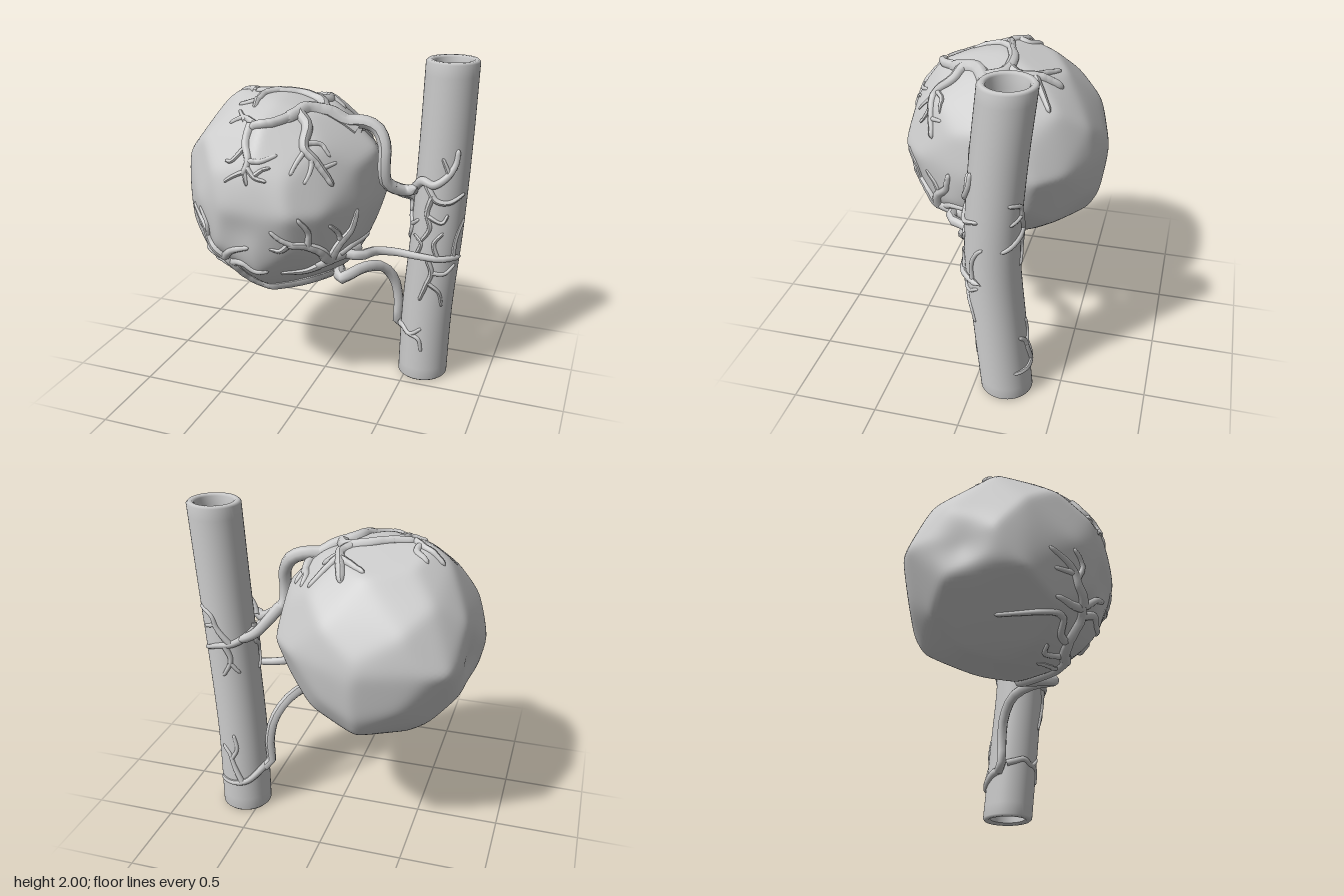
import * as THREE from 'three';
import { mergeVertices } from 'three/addons/utils/BufferGeometryUtils.js';
import { ConvexGeometry } from 'three/addons/geometries/ConvexGeometry.js';

const V = (x, y, z) => new THREE.Vector3(x, y, z);
const mat = new THREE.MeshStandardMaterial({ color: 0xcccccc });
const CENTER = V(-0.25, 1.22, 0);

// Outlines of the lumpy mass: [x, y], [x, z] and [z, y]
const OUT_XY = [[-0.53, 1.78], [-0.61, 1.72], [-0.66, 1.57], [-0.75, 1.36], [-0.81, 1.07], [-0.69, 0.92],
  [-0.57, 0.8], [-0.35, 0.65], [0, 0.68], [0.15, 0.76], [0.27, 0.95], [0.33, 1.15], [0.32, 1.5], [0.12, 1.69], [-0.2, 1.79]];
const OUT_XZ = [[-0.24, -0.615], [-0.05, -0.57], [0.2, -0.42], [0.33, -0.27], [0.33, 0.1], [0.29, 0.22], [0.15, 0.46],
  [0, 0.59], [-0.2, 0.61], [-0.4, 0.59], [-0.6, 0.46], [-0.78, 0.22], [-0.85, 0.06], [-0.78, -0.3], [-0.72, -0.46], [-0.6, -0.53]];
const OUT_ZY = [[0.57, 1.45], [0.49, 1.6], [0.41, 1.7], [0.22, 1.77], [-0.35, 1.69], [-0.49, 1.5], [-0.6, 1.3],
  [-0.61, 1.17], [-0.58, 0.95], [-0.51, 0.81], [-0.3, 0.71], [0.2, 0.65], [0.41, 0.74], [0.51, 0.84], [0.58, 1.02]];

// Face planes of the hull around those outlines, used for a softened radius
function hullPlanes() {
  const pts = [
    ...OUT_XY.map(([x, y]) => V(x, y, 0)),
    ...OUT_XZ.map(([x, z]) => V(x, 1.23, z)),
    ...OUT_ZY.map(([z, y]) => V(-0.22, y, z)),
    V(0.14, 0.94, 0.38),
  ].map(p => p.sub(CENTER));
  // Fill the diagonals between the outlines
  for (const x of [-1, 1]) for (const y of [-1, 1]) for (const z of [-1, 1]) {
    pts.push(V(x, y, z).setLength(0.608), V(x, 2.4 * y, z).setLength(0.59),
      V(2.4 * x, y, z).setLength(0.6), V(x, y, 2.4 * z).setLength(0.608));
  }
  const a = new ConvexGeometry(pts).attributes.position;
  const planes = [];
  for (let i = 0; i < a.count; i += 3) {
    const [p, q, r] = [0, 1, 2].map(k => V().fromBufferAttribute(a, i + k));
    const n = q.clone().sub(p).cross(r.sub(p));
    if (n.length() < 1e-5) continue;
    n.normalize();
    if (n.dot(p) > 0.1) planes.push(n.divideScalar(n.dot(p)));
  }
  return planes;
}
const PLANES = hullPlanes();
// Shallow hollows: direction, depth, tightness
const DENTS = [[V(-1, -0.05, -0.24).normalize(), 0.045, 30], [V(-0.06, -0.2, 1).normalize(), 0.025, 30]];
function massRadius(dir) {
  let s = 0, dent = 0;
  for (const n of PLANES) s += Math.max(0, n.dot(dir)) ** 80;
  for (const [d, depth, k] of DENTS) dent += depth * Math.exp(k * (d.dot(dir) - 1));
  return 1.015 * s ** (-1 / 80) - dent;
}

// Slightly bent centre line of the hollow vessel
const PIPE_R = 0.153;
const pipeLine = new THREE.CatmullRomCurve3([V(0.595, 0, -0.19), V(0.618, 0.5, -0.15), V(0.662, 1, -0.122),
  V(0.682, 1.5, -0.155), V(0.688, 2, -0.21)]);
const pipeCenter = y => pipeLine.getPoint(Math.min(1, Math.max(0, y / 2)));

// Projections that lay a flat drawing onto the mass or the vessel
function dropOnMass(p, axis, sign) {
  const q = p.clone().sub(CENTER);
  for (let t = 0.75; t >= 0; t -= 0.004) {
    q[axis] = sign * t;
    const len = q.length();
    if (len < massRadius(q.clone().divideScalar(len))) return q.add(CENTER);
  }
  q.normalize();
  return q.multiplyScalar(massRadius(q)).add(CENTER);
}
const massFront = ([x, y]) => dropOnMass(V(x, y, 0), 'z', 1);
const massTop = ([x, z]) => dropOnMass(V(x, 0, z), 'y', 1);
const onPipe = sign => ([x, y]) => {
  const c = pipeCenter(y);
  const dx = THREE.MathUtils.clamp(x - c.x, -PIPE_R, PIPE_R);
  return V(c.x + dx, y, c.z + sign * Math.sqrt(PIPE_R ** 2 - dx * dx));
};

// Tube that tapers from r0 to r1 and closes with a round tip
function taperTube(points, r0, r1) {
  const curve = new THREE.CatmullRomCurve3(points);
  const n = Math.max(16, points.length * 2), sides = 8;
  const geo = new THREE.TubeGeometry(curve, n, 1, sides);
  const pos = geo.attributes.position, v = V();
  const len = curve.getLength();
  for (let i = 0; i <= n; i++) {
    const c = curve.getPointAt(i / n);
    const tip = Math.min(1, (1 - i / n) * len / (2 * r1));
    const r = (r0 + (r1 - r0) * i / n) * Math.sqrt(1 - (1 - tip) ** 2);
    for (let j = 0; j <= sides; j++) {
      const k = i * (sides + 1) + j;
      v.fromBufferAttribute(pos, k).sub(c).multiplyScalar(r).add(c);
      pos.setXYZ(k, v.x, v.y, v.z);
    }
  }
  geo.computeVertexNormals();
  return geo;
}

// Each twig: [startRadius, endRadius, [flat points]]
function twigs(name, project, list) {
  const g = new THREE.Group();
  g.name = name;
  for (const [r0, r1, pts] of list) {
    const flat = new THREE.CatmullRomCurve3(pts.map(([a, b]) => V(a, b, 0)));
    const path = flat.getPoints((pts.length - 1) * 5).map(p => project([p.x, p.y]));
    const m = new THREE.Mesh(taperTube(path, r0, r1), mat);
    m.name = 'twig';
    g.add(m);
  }
  return g;
}

export function createModel() {
  const model = new THREE.Group();
  const add = (geo, name) => {
    const m = new THREE.Mesh(geo, mat);
    m.name = name;
    model.add(m);
  };

  // Lumpy mass
  let ball = new THREE.IcosahedronGeometry(1, 28);
  ball.deleteAttribute('normal');
  ball.deleteAttribute('uv');
  ball = mergeVertices(ball);
  const bp = ball.attributes.position, v = V();
  for (let i = 0; i < bp.count; i++) {
    v.fromBufferAttribute(bp, i).normalize();
    v.multiplyScalar(massRadius(v)).add(CENTER);
    bp.setXYZ(i, v.x, v.y, v.z);
  }
  ball.computeVertexNormals();
  add(ball, 'mass');

  // Hollow vessel with softly rounded rims, bent along its centre line
  const ro = PIPE_R, ri = 0.109, profile = [[ri, 0.012], [ri + 0.012, 0], [ro - 0.012, 0], [ro, 0.012]];
  for (let i = 1; i < 24; i++) profile.push([ro, i / 12]);
  profile.push([ro, 1.988], [ro - 0.012, 2], [ri + 0.012, 2], [ri, 1.988]);
  for (let i = 23; i > 0; i--) profile.push([ri, i / 12]);
  profile.push([ri, 0.012]);
  const pipe = new THREE.LatheGeometry(profile.map(p => new THREE.Vector2(...p)), 48);
  const pp = pipe.attributes.position;
  for (let i = 0; i < pp.count; i++) {
    const c = pipeCenter(pp.getY(i));
    pp.setXYZ(i, pp.getX(i) + c.x, pp.getY(i), pp.getZ(i) + c.z);
  }
  add(pipe, 'mainVessel');

  // Feeder vessels bridging mass and main vessel
  add(taperTube([massTop([0.05, 0.08]), massTop([0.14, 0.05]), V(0.24, 1.655, 0.02), V(0.32, 1.62, 0.01), V(0.37, 1.53, 0.03),
    V(0.375, 1.42, 0.05), V(0.385, 1.32, 0.04), V(0.43, 1.27, 0), V(0.5, 1.25, -0.05), V(0.56, 1.29, 0)], 0.045, 0.034), 'upperFeeder');
  add(taperTube([V(0.41, 1.29, 0.02), V(0.45, 1.24, -0.08), V(0.49, 1.2, -0.2), V(0.57, 1.17, -0.26)], 0.038, 0.026), 'upperBackFeeder');
  add(taperTube([V(0.4, 1.3, 0.02), V(0.46, 1.24, -0.04), V(0.515, 1.19, -0.1), V(0.515, 1.1, -0.09)], 0.036, 0.018), 'upperSideFeeder');
  add(taperTube([massFront([0.14, 0.92]), massFront([0.2, 0.925]), V(0.29, 0.92, 0.23), V(0.35, 0.91, 0.11), V(0.45, 0.9, 0.06), V(0.6, 0.885, 0.045),
    V(0.72, 0.875, 0.025), V(0.79, 0.87, -0.04), V(0.82, 0.865, -0.1)], 0.036, 0.016), 'middleFeeder');
  add(taperTube([massFront([0.02, 0.73]), massFront([0.1, 0.7]), V(0.17, 0.74, 0.19), V(0.26, 0.76, 0.04), V(0.34, 0.72, -0.1),
    V(0.4, 0.61, -0.17), V(0.425, 0.45, -0.19), V(0.42, 0.32, -0.19), V(0.46, 0.28, -0.22), V(0.5, 0.28, -0.26)], 0.038, 0.028), 'lowerFeeder');

  // Branches over the top of the mass, drawn as [x, z]
  model.add(twigs('topBranches', massTop, [
    [0.047, 0.036, [[0.2, 0.03], [0.05, 0.08], [-0.05, 0.15], [-0.08, 0.25], [-0.13, 0.34]]],
    [0.04, 0.024, [[0.03, 0.09], [-0.03, -0.02], [-0.15, -0.04], [-0.27, 0], [-0.42, 0.04]]],
    [0.026, 0.015, [[-0.41, 0.04], [-0.48, -0.03], [-0.6, -0.07]]],
    [0.023, 0.014, [[-0.45, 0], [-0.44, -0.07], [-0.52, -0.14]]],
    [0.029, 0.014, [[-0.28, 0], [-0.34, 0.08], [-0.35, 0.17], [-0.45, 0.2]]],
    [0.021, 0.014, [[-0.35, 0.16], [-0.33, 0.25]]],
    [0.035, 0.024, [[-0.07, -0.03], [-0.02, -0.1], [-0.04, -0.2], [-0.06, -0.26], [-0.09, -0.35]]],
    [0.026, 0.015, [[-0.04, -0.2], [-0.12, -0.25], [-0.21, -0.31]]],
    [0.026, 0.015, [[-0.03, -0.19], [0.04, -0.25], [0.11, -0.31]]],
    [0.024, 0.015, [[-0.02, -0.17], [0.07, -0.17]]],
    [0.035, 0.015, [[0.2, 0.03], [0.2, -0.08], [0.17, -0.16], [0.18, -0.23]]],
    [0.023, 0.014, [[0.2, -0.06], [0.25, -0.13]]],
  ]));

  // Branches running down the upper front, drawn as [x, y]
  model.add(twigs('upperFrontBranches', massFront, [
    [0.034, 0.024, [[-0.09, 1.72], [-0.16, 1.7], [-0.24, 1.69], [-0.3, 1.66]]],
    [0.021, 0.012, [[-0.27, 1.69], [-0.36, 1.7], [-0.45, 1.66]]],
    [0.016, 0.01, [[-0.34, 1.69], [-0.42, 1.72]]],
    [0.028, 0.018, [[-0.29, 1.68], [-0.29, 1.6], [-0.25, 1.52], [-0.27, 1.44]]],
    [0.017, 0.01, [[-0.29, 1.57], [-0.36, 1.5], [-0.4, 1.5]]],
    [0.017, 0.01, [[-0.25, 1.52], [-0.18, 1.52], [-0.1, 1.55]]],
    [0.017, 0.01, [[-0.26, 1.5], [-0.2, 1.44], [-0.13, 1.42]]],
    [0.014, 0.009, [[-0.2, 1.45], [-0.16, 1.48], [-0.12, 1.49]]],
    [0.015, 0.01, [[-0.27, 1.46], [-0.33, 1.43], [-0.39, 1.39]]],
    [0.015, 0.01, [[-0.26, 1.46], [-0.24, 1.39]]],
    [0.036, 0.018, [[-0.07, 1.73], [0, 1.67], [0.02, 1.58], [0.08, 1.52], [0.13, 1.45], [0.18, 1.37]]],
    [0.017, 0.01, [[0.03, 1.57], [0, 1.51], [-0.02, 1.45]]],
    [0.017, 0.01, [[0.07, 1.53], [0.07, 1.46], [0.05, 1.4]]],
    [0.017, 0.01, [[0.02, 1.6], [0.09, 1.59], [0.15, 1.52]]],
    [0.015, 0.01, [[0.12, 1.47], [0.18, 1.49]]],
  ]));

  // Branches around the middle feeder
  model.add(twigs('middleBranches', massFront, [
    [0.04, 0.028, [[0.24, 0.925], [0.15, 0.92], [0.07, 0.88]]],
    [0.028, 0.013, [[0.1, 0.89], [0.02, 0.85], [-0.11, 0.84]]],
    [0.036, 0.019, [[0.15, 0.92], [0.12, 1], [0.05, 1.05], [-0.03, 1.06]]],
    [0.02, 0.012, [[-0.02, 1.06], [-0.07, 1.02], [-0.13, 1.03]]],
    [0.02, 0.012, [[0, 1.06], [-0.06, 1.1], [-0.11, 1.15]]],
    [0.022, 0.012, [[0.07, 1.04], [0.08, 1.14], [0.04, 1.23]]],
    [0.034, 0.016, [[0.15, 0.92], [0.2, 1.02], [0.25, 1.09], [0.28, 1.21]]],
    [0.019, 0.011, [[0.21, 1.03], [0.2, 1.1], [0.17, 1.16]]],
    [0.022, 0.012, [[0.19, 0.94], [0.25, 0.98], [0.3, 0.97]]],
  ]));

  // Branches along the lower front
  model.add(twigs('lowerBranches', massFront, [
    [0.04, 0.03, [[0.1, 0.7], [0, 0.73], [-0.12, 0.71], [-0.27, 0.71], [-0.35, 0.77], [-0.4, 0.86], [-0.46, 0.92]]],
    [0.032, 0.013, [[-0.45, 0.91], [-0.53, 0.98], [-0.58, 1.07], [-0.7, 1.16]]],
    [0.02, 0.012, [[-0.55, 1.02], [-0.54, 1.1], [-0.6, 1.19]]],
    [0.018, 0.011, [[-0.57, 1.05], [-0.66, 1.05]]],
    [0.028, 0.013, [[-0.43, 0.9], [-0.52, 0.89], [-0.62, 0.9]]],
    [0.028, 0.013, [[-0.44, 0.91], [-0.38, 0.97], [-0.25, 1.02]]],
    [0.028, 0.013, [[-0.41, 0.87], [-0.32, 0.9], [-0.24, 0.86], [-0.16, 0.86]]],
    [0.024, 0.012, [[-0.34, 0.75], [-0.42, 0.77], [-0.5, 0.83], [-0.6, 0.83]]],
    [0.024, 0.012, [[-0.24, 0.71], [-0.35, 0.69], [-0.42, 0.72]]],
    [0.02, 0.012, [[-0.1, 0.71], [-0.2, 0.67], [-0.3, 0.66]]],
  ]));

  // Fine branches gripping the main vessel, front then back, drawn as [x, y]
  model.add(twigs('vesselFrontBranches', onPipe(1), [
    [0.032, 0.015, [[0.53, 1.26], [0.59, 1.33], [0.66, 1.32], [0.73, 1.37], [0.77, 1.44], [0.78, 1.53]]],
    [0.015, 0.01, [[0.74, 1.39], [0.7, 1.48]]],
    [0.022, 0.011, [[0.62, 1.31], [0.68, 1.23], [0.75, 1.22], [0.82, 1.26]]],
    [0.024, 0.011, [[0.52, 1.25], [0.51, 1.15], [0.53, 1.03], [0.5, 0.93]]],
    [0.018, 0.011, [[0.66, 1.26], [0.63, 1.15], [0.65, 1.06], [0.6, 0.97]]],
    [0.014, 0.01, [[0.64, 1.13], [0.72, 1.1], [0.75, 1.15]]],
    [0.014, 0.01, [[0.53, 1.05], [0.58, 1.1]]],
    [0.016, 0.01, [[0.7, 0.88], [0.68, 0.97], [0.73, 1.04]]],
    [0.016, 0.01, [[0.78, 0.87], [0.79, 0.98], [0.82, 1.1]]],
    [0.014, 0.01, [[0.58, 0.89], [0.6, 0.96], [0.55, 1]]],
    [0.018, 0.011, [[0.64, 0.88], [0.67, 0.78], [0.64, 0.69], [0.6, 0.58]]],
    [0.014, 0.01, [[0.67, 0.78], [0.74, 0.77], [0.79, 0.82]]],
    [0.014, 0.01, [[0.65, 0.71], [0.71, 0.65], [0.73, 0.54]]],
    [0.022, 0.01, [[0.45, 0.33], [0.49, 0.36], [0.54, 0.33], [0.62, 0.39]]],
    [0.014, 0.01, [[0.55, 0.33], [0.6, 0.31], [0.62, 0.22]]],
  ]));
  model.add(twigs('vesselBackBranches', onPipe(-1), [
    [0.03, 0.012, [[0.51, 1.2], [0.6, 1.15], [0.7, 1.13], [0.8, 1.08]]],
    [0.02, 0.011, [[0.62, 1.15], [0.69, 1.25], [0.72, 1.33], [0.8, 1.37]]],
    [0.014, 0.01, [[0.7, 1.27], [0.78, 1.24]]],
    [0.02, 0.011, [[0.65, 1.14], [0.62, 1.04], [0.67, 0.93]]],
    [0.014, 0.01, [[0.63, 1.03], [0.57, 0.95]]],
    [0.028, 0.012, [[0.46, 0.29], [0.54, 0.22], [0.62, 0.2], [0.73, 0.2]]],
    [0.02, 0.011, [[0.57, 0.21], [0.62, 0.32], [0.65, 0.4], [0.7, 0.45]]],
    [0.014, 0.01, [[0.64, 0.36], [0.6, 0.44], [0.62, 0.54]]],
  ]));
  return model;
}
